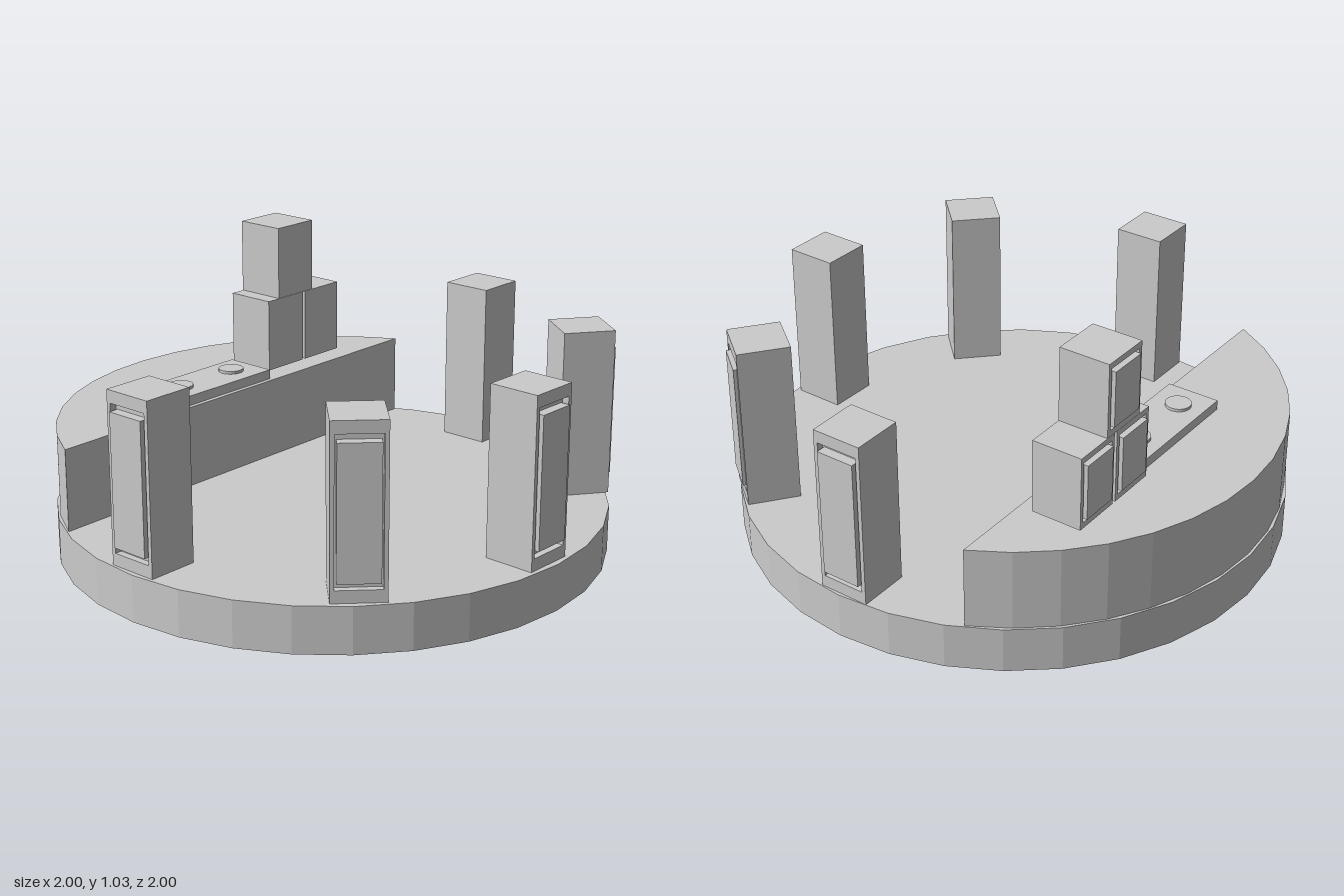
import * as THREE from 'three';

const material = new THREE.MeshStandardMaterial({ color: 0xcccccc, flatShading: true });

function add(parent, name, geometry, x = 0, y = 0, z = 0) {
  const mesh = new THREE.Mesh(geometry, material);
  mesh.name = name;
  mesh.position.set(x, y, z);
  parent.add(mesh);
  return mesh;
}

function rect(target, w, h) {
  target.moveTo(-w / 2, -h / 2);
  target.lineTo(w / 2, -h / 2);
  target.lineTo(w / 2, h / 2);
  target.lineTo(-w / 2, h / 2);
  target.closePath();
  return target;
}

// Loudspeaker cabinet: base at y = 0, recessed front facing local +z with a grille standing slightly proud
function speaker(name, w, h, d, border, gap) {
  const group = new THREE.Group();
  group.name = name;
  const recess = 0.025;
  add(group, 'cabinet', new THREE.BoxGeometry(w, h, d - recess), 0, h / 2, -recess / 2);
  const openW = w - 0.03, openH = h - 2 * border;
  const frame = rect(new THREE.Shape(), w, h);
  frame.holes.push(rect(new THREE.Path(), openW, openH));
  add(group, 'frontFrame', new THREE.ExtrudeGeometry(frame, { depth: recess, bevelEnabled: false }),
    0, h / 2, d / 2 - recess);
  const grilleDepth = recess + 0.011;
  add(group, 'grille', new THREE.BoxGeometry(openW - 0.014, openH - 2 * gap, grilleDepth),
    0, h / 2, d / 2 - recess + grilleDepth / 2);
  return group;
}

export function createModel() {
  const model = new THREE.Group();
  model.name = 'danceFloor';
  const floorY = 0.17, stageY = 0.472;

  // Round floor
  add(model, 'floor', new THREE.CylinderGeometry(1, 1, floorY, 32), 0, floorY / 2, 0);

  // Raised stage: a segment of the circle cut by a straight front edge
  const r = 0.99, start = Math.acos(-0.44 / r), steps = 14;
  const outline = [];
  for (let i = 0; i <= steps; i++) {
    const a = start + (2 * (Math.PI - start) * i) / steps;
    outline.push(new THREE.Vector2(r * Math.cos(a), r * Math.sin(a)));
  }
  const stage = new THREE.ExtrudeGeometry(new THREE.Shape(outline), { depth: stageY - floorY, bevelEnabled: false });
  stage.rotateX(-Math.PI / 2);
  add(model, 'stage', stage, 0, floorY, 0);

  // Mixing desk with two turntables
  add(model, 'mixingDesk', new THREE.BoxGeometry(0.2, 0.036, 0.48), -0.557, 0.49, 0.083);
  for (const z of [-0.052, 0.215]) {
    add(model, 'turntable', new THREE.CylinderGeometry(0.047, 0.047, 0.012, 24), -0.56, 0.513, z);
  }

  // Tall speakers around the rim, facing outward: x, z, heading in degrees
  const towers = [
    [-0.015, -0.893, 180], [0.621, -0.648, 143], [0.881, 0.022, 89],
    [0.637, 0.608, 45], [-0.017, 0.886, 0],
  ];
  for (const [x, z, heading] of towers) {
    const tower = speaker('towerSpeaker', 0.188, 0.615, 0.19, 0.045, 0.025);
    tower.position.set(x, floorY, z);
    tower.rotation.y = THREE.MathUtils.degToRad(heading);
    model.add(tower);
  }

  // Stack of three small speakers on the stage, facing -x: y, z
  for (const [y, z] of [[0.485, -0.502], [0.485, -0.298], [0.759, -0.355]]) {
    const box = speaker('stackSpeaker', 0.19, 0.273, 0.19, 0.022, 0.012);
    box.position.set(-0.597, y, z);
    box.rotation.y = -Math.PI / 2;
    model.add(box);
  }

  return model;
}
